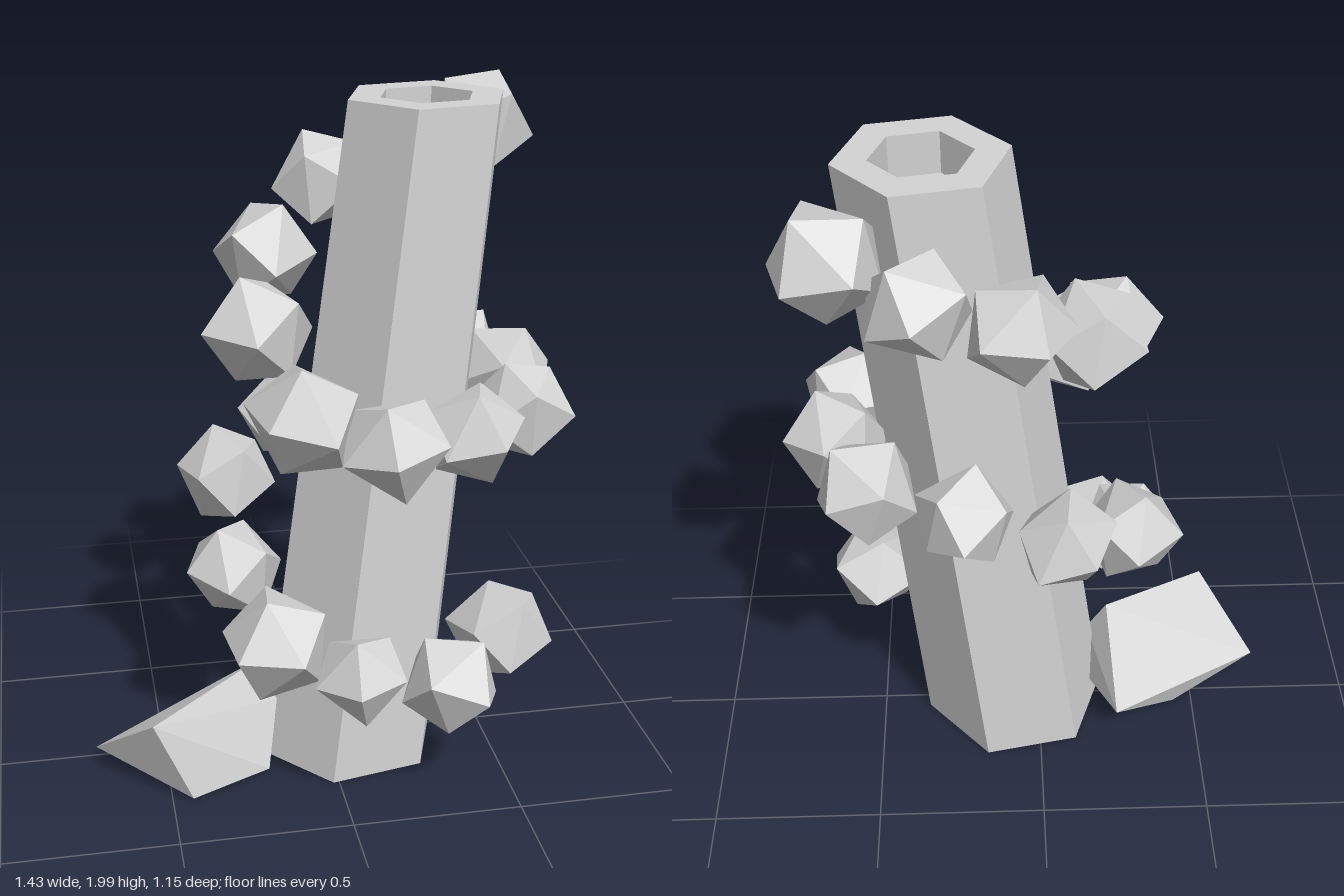
import * as THREE from 'three';
import { ConvexGeometry } from 'three/addons/geometries/ConvexGeometry.js';

const stone = new THREE.MeshStandardMaterial({ color: 0xd4d4d4 });
stone.name = 'grey stone';

// small seeded random generator
function seeded(seed) {
  let s = seed;
  return () => {
    s = (s * 16807) % 2147483647;
    return s / 2147483647;
  };
}

function faceted(geometry) {
  const flat = geometry.index ? geometry.toNonIndexed() : geometry;
  flat.computeVertexNormals();
  return flat;
}

function addPart(group, name, geometry) {
  const mesh = new THREE.Mesh(geometry, stone);
  mesh.name = name;
  group.add(mesh);
  return mesh;
}

// centre line of the leaning column at a given height
const HEIGHT = 1.985;
const axisX = y => 0.075 + 0.226 * y / HEIGHT;
const axisZ = y => 0.01 - 0.052 * y / HEIGHT;

// leaning, tapering hexagonal column with a straight hexagonal socket on top
function columnGeometry() {
  const floor = HEIGHT - 0.12;
  const profile = [[0, 0], [0.285, 0], [0.236, HEIGHT], [0.14, HEIGHT], [0.14, floor], [0, floor]]
    .map(([r, y]) => new THREE.Vector2(r, y));
  const geo = new THREE.LatheGeometry(profile, 6, -0.33);
  const pos = geo.attributes.position;
  for (let i = 0; i < pos.count; i++) {
    const y = pos.getY(i) > 0.01 ? HEIGHT : 0;
    pos.setX(i, pos.getX(i) + axisX(y));
    pos.setZ(i, pos.getZ(i) + axisZ(y));
  }
  return faceted(geo);
}

// chunky crystal: two poles and two staggered rings of four, a little uneven
function crystalGeometry(radius, outward, random) {
  const points = [];
  const add = (lat, lon) => {
    const r = radius * (0.94 + 0.12 * random());
    points.push(new THREE.Vector3(
      r * Math.cos(lat) * Math.cos(lon), r * Math.sin(lat), r * Math.cos(lat) * Math.sin(lon)));
  };
  const turn = random() * Math.PI;
  add(Math.PI / 2, 0);
  add(-Math.PI / 2, 0);
  for (let i = 0; i < 4; i++) {
    add(0.4, turn + i * Math.PI / 2);
    add(-0.4, turn + (i + 0.5) * Math.PI / 2);
  }
  const q = new THREE.Quaternion().setFromUnitVectors(new THREE.Vector3(0, 1, 0), outward);
  points.forEach(p => p.applyQuaternion(q));
  return faceted(new ConvexGeometry(points));
}

export function createModel() {
  const model = new THREE.Group();
  model.name = 'crystalColumn';
  addPart(model, 'column', columnGeometry());

  // crystals winding down around the column: x, y, z, radius
  const spiral = [
    [0.53, 1.845, -0.33, 0.165],
    [0.31, 1.77, -0.42, 0.15],
    [0.065, 1.68, -0.385, 0.155],
    [-0.13, 1.52, -0.19, 0.158],
    [-0.195, 1.37, 0.08, 0.162],
    [-0.105, 1.18, 0.3, 0.168],
    [0.13, 1.12, 0.39, 0.152],
    [0.36, 1.12, 0.32, 0.152],
    [0.55, 1.12, 0.16, 0.152],
    [0.57, 1.14, -0.1, 0.152],
    [0.48, 1.13, -0.325, 0.158],
    [0.21, 1.08, -0.395, 0.15],
    [-0.06, 0.95, -0.35, 0.152],
    [-0.265, 0.84, -0.17, 0.155],
    [-0.28, 0.65, 0.08, 0.152],
    [-0.18, 0.495, 0.28, 0.168],
    [0.035, 0.45, 0.43, 0.138],
    [0.31, 0.37, 0.375, 0.158],
    [0.51, 0.415, 0.185, 0.162],
  ];
  const random = seeded(4711);
  const crystals = new THREE.Group();
  crystals.name = 'crystalSpiral';
  spiral.forEach(([x, y, z, r], i) => {
    const outward = new THREE.Vector3(x - axisX(y), 0.12 * (random() - 0.5), z - axisZ(y)).normalize();
    const mesh = addPart(crystals, `crystal${i + 1}`, crystalGeometry(r, outward, random));
    mesh.position.set(x, y, z);
  });
  model.add(crystals);

  // boulder leaning against the foot
  const boulder = [
    [-0.71, 0.08, 0.08], [-0.55, 0.26, 0.29], [-0.22, 0.32, 0.07],
    [-0.24, 0.125, -0.22], [-0.44, 0, -0.05], [-0.44, 0.01, 0.3],
    [-0.16, 0.2, 0.1], [-0.2, 0.02, 0.2], [-0.16, 0.07, 0],
  ].map(p => new THREE.Vector3(...p));
  addPart(model, 'boulder', faceted(new ConvexGeometry(boulder)));

  return model;
}
